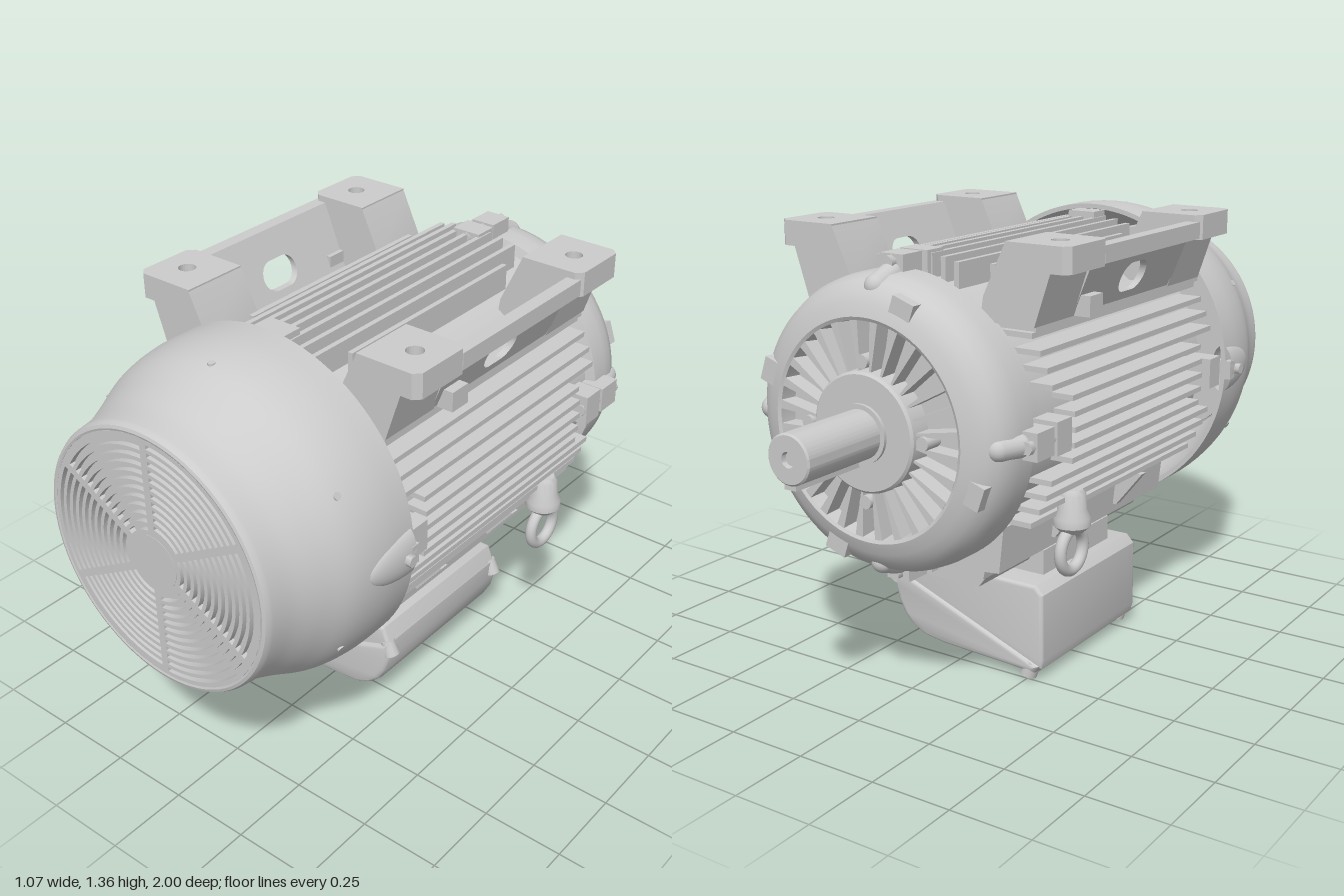
import * as THREE from 'three';
import { toCreasedNormals } from 'three/addons/utils/BufferGeometryUtils.js';

const AY = 0.835; // height of the motor axis
const mat = new THREE.MeshStandardMaterial({ color: 0xcccccc, side: THREE.DoubleSide });

function add(parent, name, geo, x = 0, y = 0, z = 0) {
  const m = new THREE.Mesh(geo, mat);
  m.name = name;
  m.position.set(x, y, z);
  parent.add(m);
  return m;
}
const box = (parent, name, [x0, x1], [y0, y1], [z0, z1]) =>
  add(parent, name, new THREE.BoxGeometry(Math.abs(x1 - x0), y1 - y0, z1 - z0), (x0 + x1) / 2, (y0 + y1) / 2, (z0 + z1) / 2);
const vectors = pts => pts.map(p => new THREE.Vector2(...p));
// Outline in x,y extruded from z0 to z1, with an optional rounded edge
function prism(pts, z0, z1, bevel = 0) {
  const g = new THREE.ExtrudeGeometry(new THREE.Shape(vectors(pts)), {
    depth: z1 - z0 - 2 * bevel, bevelEnabled: bevel > 0, bevelSize: bevel, bevelThickness: bevel, bevelOffset: -bevel, bevelSegments: 4,
  });
  return toCreasedNormals(g.translate(0, 0, z0 + bevel), 0.6);
}
// Profile of [radius, z] turned around the motor axis
const turned = pts => toCreasedNormals(new THREE.LatheGeometry(vectors(pts), 96).rotateX(Math.PI / 2), 0.5);
const rod = (r, len, seg = 24) => new THREE.CylinderGeometry(r, r, len, seg).rotateX(Math.PI / 2);
// Group turned about the motor axis; its local +y points outwards
function spoke(parent, name, angle) {
  const g = new THREE.Group();
  g.name = name;
  g.position.y = AY;
  g.rotation.z = angle;
  parent.add(g);
  return g;
}

function buildCowl(root) {
  const curve = new THREE.SplineCurve(vectors([[0.5, 0.53], [0.5, 0.64], [0.483, 0.74], [0.443, 0.83], [0.412, 0.91], [0.4, 0.985]]))
    .getPoints(28).map(p => [p.x, p.y]);
  add(root, 'fanCowl', turned([[0.385, 0.96], [0.465, 0.7], [0.485, 0.62], [0.485, 0.53], ...curve, [0.394, 0.997], [0.385, 1], [0.379, 0.998], [0.379, 0.975]]), 0, AY);
  // Grille with six sectors of staggered arc slots
  const disc = new THREE.Shape().absarc(0, 0, 0.379, 0, Math.PI * 2);
  for (let s = 0; s < 6; s++) {
    for (let i = 0; i < 11; i++) {
      const r = 0.096 + i * 0.0245 + (s % 2) * 0.011, w = 0.013;
      const a = Math.PI / 2 + s * Math.PI / 3 + 0.011 / r;
      const b = a + Math.PI / 3 - 0.022 / r;
      disc.holes.push(new THREE.Path().absarc(0, 0, r + w, a, b, false).absarc(0, 0, r, b, a, true));
    }
  }
  add(root, 'fanGrille', new THREE.ExtrudeGeometry(disc, { depth: 0.018, bevelEnabled: false, curveSegments: 24 }), 0, AY, 0.98);
  add(root, 'grilleBacking', rod(0.379, 0.01, 64), 0, AY, 0.968);
  add(root, 'grilleCentre', rod(0.082, 0.01, 24), 0, AY, 0.994);
  // Side and bottom mounting bulges with bolts
  for (const a of [Math.PI / 2, -Math.PI / 2, Math.PI]) {
    const g = spoke(root, 'cowlMount', a);
    const b = add(g, 'cowlBulge', new THREE.SphereGeometry(1, 24, 16, 0, Math.PI), 0, 0.483, 0.54);
    b.scale.set(0.076, 0.036, 0.17);
    add(g, 'cowlBolt', new THREE.CylinderGeometry(0.018, 0.018, 0.05, 6), 0, 0.51, 0.575);
    box(g, 'cowlLug', [-0.03, 0.03], [0.47, 0.518], [0.53, 0.56]);
  }
  for (const a of [0, 1.04, 2.1, -1.04, -2.1]) {
    add(spoke(root, 'cowlScrew', a), 'cowlScrewHead', new THREE.CylinderGeometry(0.011, 0.011, 0.02, 12), 0, 0.476, 0.74);
  }
}

function buildFrame(root) {
  add(root, 'frameBarrel', rod(0.4, 0.99, 72), 0, AY, 0.045);
  // Parallel cooling fins on the two sides and the top
  for (let i = -6; i <= 6; i++) {
    const d = i * 0.045, out = Math.sqrt(0.468 ** 2 - d * d), short = Math.abs(i) < 3;
    for (const s of [-1, 1]) {
      box(root, 'sideFin', [s * 0.28, s * out], [AY + d - 0.008, AY + d + 0.008], short ? [-0.35, 0.43] : [-0.44, 0.52]);
    }
    if (Math.abs(i) < 5) box(root, 'topFin', [d - 0.008, d + 0.008], [AY + 0.3, AY + out], Math.abs(i) > 3 ? [-0.33, 0.4] : [-0.44, 0.52]);
  }
  // Stepped underside with upright walls, carrying the terminal box
  add(root, 'undersideWall', prism([[-0.29, 0.54], [-0.275, 0.4], [-0.225, 0.395], [-0.22, 0.37], [0.22, 0.37], [0.225, 0.395], [0.275, 0.4], [0.29, 0.54]], -0.44, 0.52));
  add(root, 'undersidePlate', prism([[-0.22, 0.375], [-0.19, 0.335], [0.19, 0.335], [0.22, 0.375]], -0.42, 0.5));
  for (const s of [-1, 1]) {
    for (const z of [0.22, -0.15]) {
      add(root, 'wallRib', prism([[s * 0.38, 0.545], [s * 0.29, 0.43], [s * 0.25, 0.43], [s * 0.25, 0.545]], z - 0.014, z + 0.014));
    }
  }
  for (const a of [0, Math.PI / 2, -Math.PI / 2]) {
    box(spoke(root, 'frameLug', a), 'frameLugBlock', [-0.048, 0.048], [0.36, 0.485], [0.45, 0.52]);
  }
}

function buildFoot(root, s) {
  const foot = new THREE.Group();
  foot.name = s > 0 ? 'leftFoot' : 'rightFoot';
  root.add(foot);
  for (const z of [-0.345, 0.415]) {
    // Pad with a bolt hole on top of a splayed leg
    const pad = new THREE.Shape(vectors([[s * 0.3, z - 0.105], [s * 0.48, z - 0.105], [s * 0.5, z - 0.085], [s * 0.5, z + 0.085], [s * 0.48, z + 0.105], [s * 0.3, z + 0.105]]));
    pad.holes.push(new THREE.Path().absarc(s * 0.41, z, 0.026, 0, Math.PI * 2));
    add(foot, 'footPad', new THREE.ExtrudeGeometry(pad, { depth: 0.075, bevelEnabled: false }).rotateX(Math.PI / 2), 0, 1.355);
    add(foot, 'footLeg', prism([[s * 0.3, 1.35], [s * 0.23, 1.2], [s * 0.22, 1.13], [s * 0.395, 1.13], [s * 0.445, 1.282], [s * 0.3, 1.282]], z - 0.105, z + 0.105));
  }
  // Shelf along the barrel, leaning web with an oval opening, and its top rail
  box(foot, 'footShelf', [s * 0.24, s * 0.395], [1.118, 1.138], [-0.44, 0.52]);
  const web = new THREE.Shape(vectors([[-0.32, 1.125], [0.25, 1.125], [0.25, 1.335], [-0.32, 1.335]]));
  web.holes.push(new THREE.Path().absarc(-0.065, 1.205, 0.045, Math.PI / 2, -Math.PI / 2, false)
    .absarc(-0.01, 1.205, 0.045, -Math.PI / 2, Math.PI / 2, false));
  const g = new THREE.ExtrudeGeometry(web, { depth: 0.022, bevelEnabled: false }).rotateY(Math.PI / 2);
  const p = g.attributes.position;
  for (let i = 0; i < p.count; i++) p.setX(i, p.getX(i) - 0.011 + s * (0.38 + (p.getY(i) - 1.125) * 0.4));
  g.computeVertexNormals();
  add(foot, 'footWeb', g);
  box(foot, 'footRail', [s * 0.455, s * 0.495], [1.285, 1.335], [-0.25, 0.32]);
  const z = s > 0 ? 0.26 : -0.21;
  box(foot, 'earthTerminal', [s * 0.38, s * 0.447], [1.13, 1.19], [z - 0.035, z + 0.035]);
}

function buildEndShield(root) {
  // Domed shield with a flat hub and a recessed ring
  add(root, 'endShield', turned([[0, -0.7], [0.165, -0.7], [0.172, -0.693], [0.175, -0.63], [0.305, -0.63], [0.31, -0.682], [0.32, -0.687],
    [0.355, -0.676], [0.385, -0.66], [0.41, -0.635], [0.425, -0.6], [0.43, -0.56], [0.43, -0.5], [0.4, -0.49], [0.4, -0.43]]), 0, AY);
  // Tapering radial ribs in the recess
  for (let i = 0; i < 28; i++) {
    const g = spoke(root, 'shieldRib', (i + 0.5) / 28 * Math.PI * 2);
    add(g, 'shieldRibBlade', prism([[-0.003, 0.165], [0.003, 0.165], [0.013, 0.31], [-0.013, 0.31]], -0.683, -0.62));
  }
  // Four bolted lugs, each with a rounded bridge on the rim
  for (let i = 0; i < 4; i++) {
    const g = spoke(root, 'shieldLug', i * Math.PI / 2);
    box(g, 'frameSideLug', [-0.048, 0.048], [0.36, 0.475], [-0.455, -0.38]);
    box(g, 'shieldSideLug', [-0.04, 0.04], [0.38, 0.475], [-0.555, -0.47]);
    add(g, 'lugBolt', rod(0.02, 0.2, 6), 0, 0.452, -0.475);
    const b = add(g, 'lugBridge', new THREE.CapsuleGeometry(0.034, 0.07, 6, 16).rotateX(Math.PI / 2), 0, 0.408, -0.59);
    b.rotation.x = -0.35;
    add(g, 'hubBolt', rod(0.02, 0.06, 12), 0, 0.2, -0.665);
    // Raised drain pad between lugs
    const q = spoke(root, 'shieldPad', (i + 0.5) * Math.PI / 2 - 0.45);
    box(q, 'shieldPadBlock', [-0.036, 0.036], [0.33, 0.4], [-0.677, -0.62]);
  }
  // Shaft with key and centre hole
  add(root, 'shaft', turned([[0, -0.985], [0.02, -0.985], [0.022, -1], [0.066, -1], [0.071, -0.995], [0.071, -0.69]]), 0, AY);
  add(root, 'shaftCollar', rod(0.085, 0.02, 36), 0, AY, -0.7);
  box(root, 'shaftKey', [-0.02, 0.02], [0.752, 0.79], [-0.995, -0.74]);
}

function buildTerminalBox(root) {
  const t = new THREE.Group();
  t.name = 'terminalBox';
  root.add(t);
  box(t, 'boxNeck', [-0.245, 0.16], [0.29, 0.375], [-0.155, 0.235]);
  add(t, 'boxBase', prism([[-0.3, 0.27], [-0.275, 0.297], [0.225, 0.297], [0.25, 0.235], [-0.295, 0.03], [-0.303, 0.06]], -0.25, 0.32, 0.012));
  // Rounded wedge lid
  add(t, 'boxLid', prism([[-0.295, 0.042], [0.25, 0.25], [0.25, 0.19], [0.238, 0.14], [0.213, 0.095], [0.175, 0.06], [0.13, 0.04], [0.06, 0.03], [-0.275, 0.015]], -0.26, 0.332, 0.02));
  for (const z of [-0.235, 0.305]) {
    for (const [x, y] of [[0.24, 0.225], [-0.255, 0.025]]) {
      const b = add(t, 'lidBolt', new THREE.CylinderGeometry(0.022, 0.026, 0.05, 12), x, y, z);
      b.rotation.z = 0.36;
    }
  }
}

function buildEyebolt(root, s) {
  const e = new THREE.Group();
  e.name = s > 0 ? 'leftEyebolt' : 'rightEyebolt';
  e.position.set(s * 0.41, 0, -0.265);
  root.add(e);
  add(e, 'eyeboltBoss', toCreasedNormals(new THREE.LatheGeometry(vectors([[0, 0.505], [0.035, 0.505], [0.055, 0.525], [0.055, 0.55], [0.043, 0.575], [0.04, 0.62], [0.03, 0.635], [0, 0.635]]), 24), 0.6));
  add(e, 'eyeboltRing', new THREE.TorusGeometry(0.062, 0.018, 12, 36).rotateY(Math.PI / 2), 0, 0.448, 0);
}

export function createModel() {
  const root = new THREE.Group();
  root.name = 'electricMotor';
  buildCowl(root);
  buildFrame(root);
  buildEndShield(root);
  buildTerminalBox(root);
  for (const s of [-1, 1]) {
    buildFoot(root, s);
    buildEyebolt(root, s);
  }
  return root;
}
